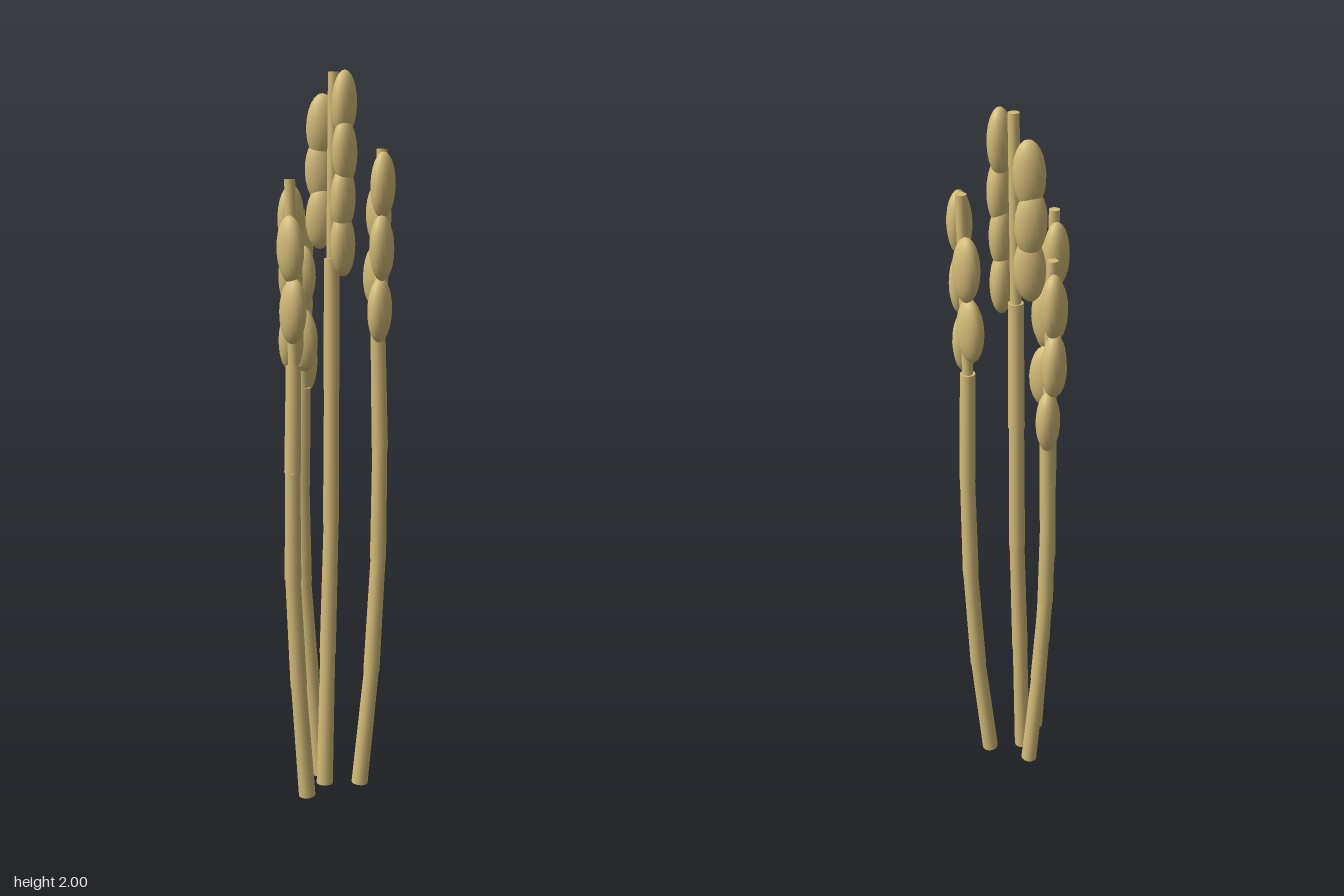
import * as THREE from 'three';

const straw = new THREE.MeshStandardMaterial({ color: 0xd4bc78 });
const UP = new THREE.Vector3(0, 1, 0);

// cylinder between two points, narrowing from r0 to r1
function rod(name, a, b, r0, r1) {
  const dir = b.clone().sub(a);
  const mesh = new THREE.Mesh(new THREE.CylinderGeometry(r1, r0, dir.length(), 14), straw);
  mesh.position.copy(a).add(b).multiplyScalar(0.5);
  mesh.quaternion.setFromUnitVectors(UP, dir.normalize());
  mesh.name = name;
  return mesh;
}

// Each plant: stalk joints from ground up, the last point is the stem tip.
// Each grain column: facing angle, then grain centres.
const plants = [
  {
    name: 'leftmostPlant',
    path: [[-0.09, 0.002, 0.03], [-0.115, 0.33, 0.025], [-0.13, 0.64, 0.02], [-0.13, 0.94, 0.02], [-0.119, 1.23, 0.012], [-0.122, 1.72, 0.003]],
    columns: [
      { yaw: 1.65, at: [[-0.16, 1.54, 0.052], [-0.156, 1.38, 0.057]] },
      { yaw: 0.2, at: [[-0.085, 1.62, -0.04], [-0.083, 1.46, -0.04], [-0.085, 1.295, -0.038]] },
    ],
  },
  {
    name: 'backPlant',
    path: [[0.033, 0.002, -0.06], [0.01, 0.31, -0.075], [-0.007, 0.59, -0.085], [-0.01, 0.87, -0.088], [-0.007, 1.15, -0.086], [-0.011, 1.64, -0.094]],
    columns: [
      { yaw: 0.4, at: [[0.03, 1.54, -0.137], [0.03, 1.38, -0.14], [0.035, 1.213, -0.126]] },
      { yaw: -1.2, at: [[-0.047, 1.46, -0.042], [-0.042, 1.29, -0.04]] },
    ],
  },
  {
    name: 'tallPlant',
    path: [[0.0, 0.002, 0.0], [0.016, 0.39, -0.006], [0.03, 0.77, -0.008], [0.031, 1.15, -0.008], [0.026, 1.51, -0.002], [0.029, 2, 0.001]],
    columns: [
      { yaw: 0.35, at: [[0.021, 1.915, 0.055], [0.016, 1.79, 0.063], [0.015, 1.67, 0.058], [0.017, 1.55, 0.055]] },
      { yaw: -0.7, at: [[0.036, 1.862, -0.058], [0.036, 1.742, -0.064], [0.034, 1.62, -0.058]] },
    ],
  },
  {
    name: 'rightmostPlant',
    path: [[0.08, 0.002, 0.062], [0.108, 0.34, 0.079], [0.125, 0.67, 0.085], [0.125, 0.99, 0.089], [0.117, 1.31, 0.087], [0.122, 1.8, 0.092]],
    columns: [
      { yaw: 1.5, at: [[0.157, 1.625, 0.042], [0.151, 1.46, 0.038]] },
      { yaw: 0.35, at: [[0.085, 1.705, 0.138], [0.077, 1.54, 0.144], [0.081, 1.375, 0.133]] },
    ],
  },
];

export function createModel() {
  const model = new THREE.Group();
  model.name = 'cerealPlants';
  const grainShape = new THREE.SphereGeometry(1, 18, 12);

  for (const { name, path, columns } of plants) {
    const plant = new THREE.Group();
    plant.name = name;
    const points = path.map((p) => new THREE.Vector3(...p));

    // jointed stalk: every section flares a little above the one below
    for (let i = 0; i < 4; i++) {
      plant.add(rod('stalkSection', points[i], points[i + 1], 0.0235 - i * 0.0003, 0.0215 - i * 0.0003));
    }
    // thin stem carrying the ear
    plant.add(rod('earStem', points[4], points[5], 0.0145, 0.0145));

    // columns of plump, slightly flattened grains
    for (const { yaw, at } of columns) {
      at.forEach((p, i) => {
        const grain = new THREE.Mesh(grainShape, straw);
        grain.name = 'grain';
        grain.position.set(...p);
        grain.scale.set(0.041, 0.087, 0.031);
        grain.rotation.set(0, yaw, (i % 2 ? 1 : -1) * 0.04, 'YXZ');
        plant.add(grain);
      });
    }
    model.add(plant);
  }
  return model;
}
